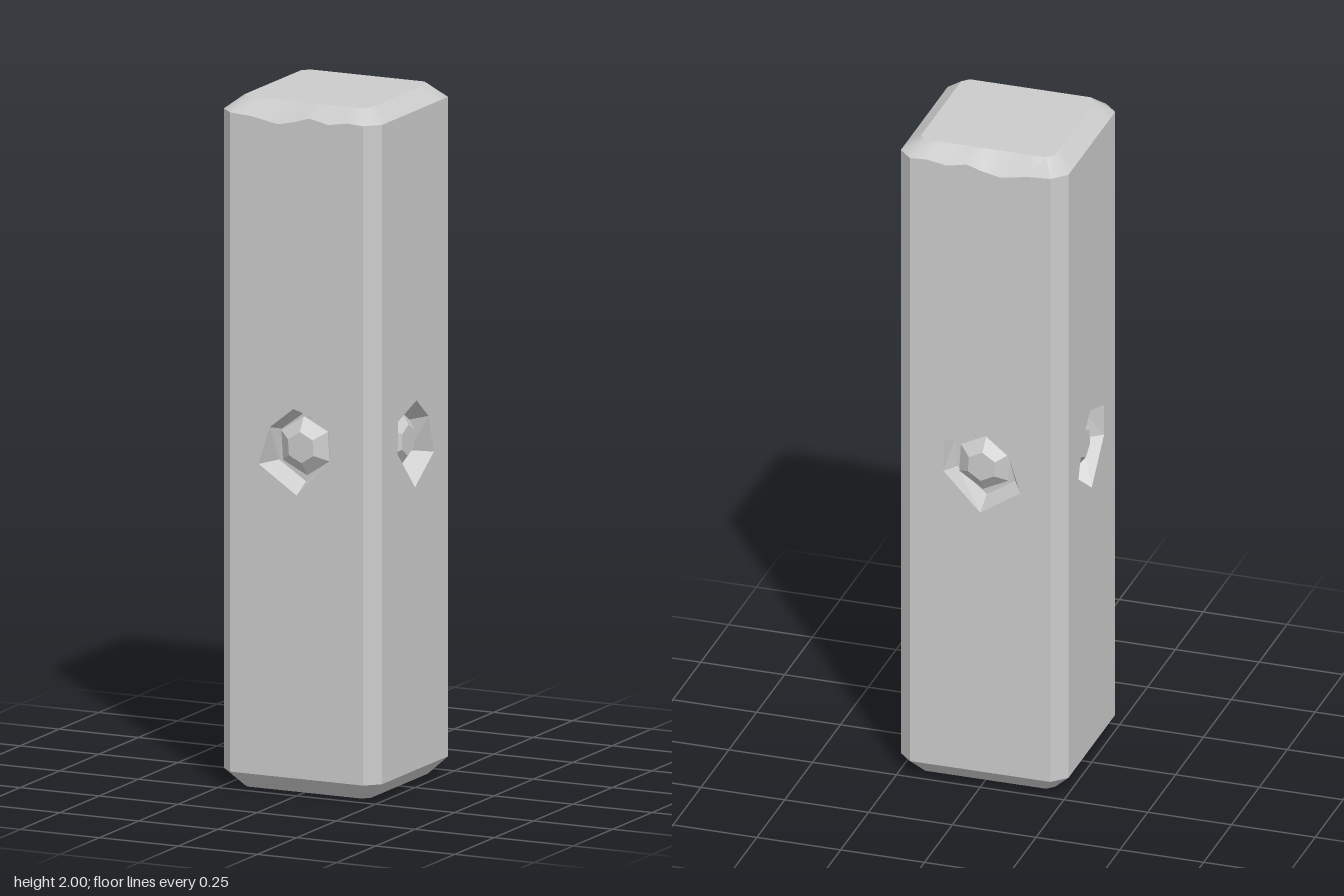
import * as THREE from 'three';
import { toCreasedNormals } from 'three/addons/utils/BufferGeometryUtils.js';

const HALF = 0.25, EDGE = 0.21, HEIGHT = 2;
// positions across one side, and the chipped upper edge used on front and back
const ACROSS = [-0.21, -0.14, -0.06, 0, 0.04, 0.1, 0.16, 0.21];
const CHIPPED = [1.96, 1.955, 1.94, 1.953, 1.966, 1.953, 1.963, 1.96];
const LOW = 0.05, HIGH = 1.96;

// socket rim and floor outlines, counter-clockwise seen from outside
const RIM = [[-0.01, 1.12], [-0.085, 1.06], [-0.12, 0.95], [0, 0.87], [0.11, 0.985], [0.108, 1.08]];
const FLOOR = [[-0.01, 1.095], [-0.077, 1.045], [-0.085, 0.955], [0, 0.9], [0.088, 0.975], [0.092, 1.065]];

// four sides: turn about y, mirrored or not, chipped edge or not
const SIDES = [
  { name: 'front', turn: 0, flip: 1, chipped: true },
  { name: 'left', turn: Math.PI / 2, flip: -1, chipped: false },
  { name: 'back', turn: Math.PI, flip: -1, chipped: true },
  { name: 'right', turn: -Math.PI / 2, flip: 1, chipped: false },
];

function fromTriangles(points, crease) {
  const geo = new THREE.BufferGeometry();
  geo.setAttribute('position', new THREE.Float32BufferAttribute(points.flat(), 3));
  geo.computeVertexNormals();
  return crease ? toCreasedNormals(geo, crease) : geo;
}

const quad = (a, b, c, d) => [a, b, c, a, c, d];

// closed loop round the pillar; height is a number or 'chipped'
function ring(dist, reach, height) {
  const pts = [];
  for (const side of SIDES) {
    const c = Math.cos(side.turn), s = Math.sin(side.turn);
    const order = ACROSS.map((u, i) => i);
    if (side.flip < 0) order.reverse();
    for (const i of order) {
      const x = side.flip * ACROSS[i] * reach / EDGE;
      const y = height === 'chipped' ? (side.chipped ? CHIPPED[i] : HIGH) : height;
      pts.push([x * c + dist * s, y, -x * s + dist * c]);
    }
  }
  return pts;
}

// bevelled ends, caps and the four corner chamfers
function frameGeometry() {
  const rings = [
    ring(0.2, 0.18, 0), ring(HALF, EDGE, LOW),
    ring(HALF, EDGE, 'chipped'), ring(0.2, 0.18, HEIGHT),
  ];
  const n = rings[0].length, per = ACROSS.length, tris = [];
  for (let i = 0; i < n; i++) {
    const j = (i + 1) % n;
    for (let r = 0; r < 3; r++) {
      if (r === 1 && i % per !== per - 1) continue; // side panels fill these
      tris.push(...quad(rings[r][i], rings[r][j], rings[r + 1][j], rings[r + 1][i]));
    }
    tris.push([0, HEIGHT, 0], rings[3][i], rings[3][j]);
    tris.push([0, 0, 0], rings[0][j], rings[0][i]);
  }
  return fromTriangles(tris, 0.5);
}

// flat side face with the socket opening cut out
function panelGeometry(chipped) {
  const top = ACROSS.map((u, i) => new THREE.Vector2(u, chipped ? CHIPPED[i] : HIGH)).reverse();
  const bottom = ACROSS.map((u) => new THREE.Vector2(u, LOW));
  const shape = new THREE.Shape([...bottom, ...top]);
  shape.holes.push(new THREE.Path(RIM.map(([x, y]) => new THREE.Vector2(x, y))));
  return new THREE.ShapeGeometry(shape).translate(0, 0, HALF);
}

// sloping socket walls and floor
function socketGeometry() {
  const rim = RIM.map(([x, y]) => [x, y, HALF]);
  const floor = FLOOR.map(([x, y]) => [x, y, HALF - 0.06]);
  const tris = [];
  rim.forEach((p, i) => {
    const j = (i + 1) % rim.length;
    tris.push(...quad(p, rim[j], floor[j], floor[i]));
    tris.push([0, 1, HALF - 0.06], floor[i], floor[j]);
  });
  return fromTriangles(tris);
}

// faceted stone: six-sided girdle with a smaller flat front
function gemGeometry() {
  const geo = new THREE.CylinderGeometry(0.045, 0.085, 0.03, 6);
  const base = geo.rotateX(Math.PI / 2).rotateZ(0.06);
  return base.translate(0.003, 1.005, HALF - 0.035);
}

export function createModel() {
  const model = new THREE.Group();
  model.name = 'pillar';
  const stone = new THREE.MeshStandardMaterial({ color: 0xcccccc });
  const faceted = new THREE.MeshStandardMaterial({ color: 0xcccccc, flatShading: true });
  const add = (parent, name, geo, mat) => {
    const mesh = new THREE.Mesh(geo, mat);
    mesh.name = name;
    parent.add(mesh);
  };

  add(model, 'bevelledFrame', frameGeometry(), stone);

  const socket = socketGeometry(), gem = gemGeometry();
  const girdle = new THREE.CylinderGeometry(0.085, 0.075, 0.03, 6, 1, true)
    .rotateX(Math.PI / 2).rotateZ(0.06).translate(0.003, 1.005, HALF - 0.065);
  for (const side of SIDES) {
    const group = new THREE.Group();
    group.name = side.name + 'Side';
    group.rotation.y = side.turn;
    group.scale.x = side.flip;
    add(group, 'panel', panelGeometry(side.chipped), stone);
    add(group, 'socket', socket, faceted);
    add(group, 'gem', gem, faceted);
    add(group, 'gemGirdle', girdle, faceted);
    model.add(group);
  }
  return model;
}
